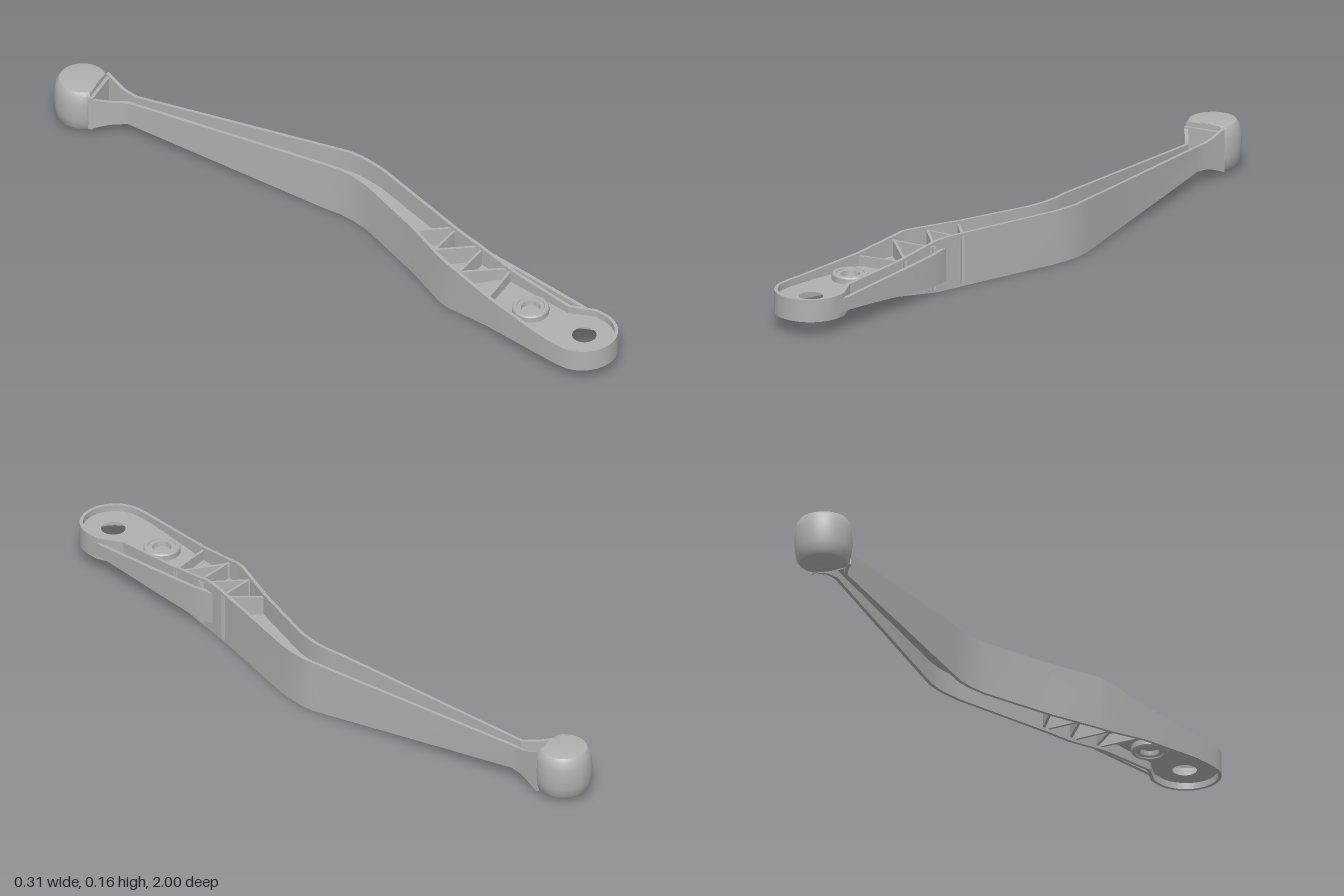
import * as THREE from 'three';
import { toCreasedNormals } from 'three/addons/utils/BufferGeometryUtils.js';

const MID = 0.079; // height of the symmetry plane

// piecewise linear lookup in [[z, value], ...]
function lookup(table, z) {
  if (z <= table[0][0]) return table[0][1];
  for (let i = 1; i < table.length; i++) {
    const [z0, v0] = table[i - 1], [z1, v1] = table[i];
    if (z <= z1) return v0 + (v1 - v0) * (z - z0) / (z1 - z0);
  }
  return table[table.length - 1][1];
}

// upright ribbon along a path of [x, z]; thickness grows to the right-hand (inner) side
function ribbon(path, thickness, halfHeight) {
  const pos = [], idx = [], n = path.length;
  const dir = (a, b) => new THREE.Vector2(b[0] - a[0], b[1] - a[1]).normalize();
  path.forEach(([x, z], i) => {
    const t0 = dir(path[Math.max(i - 1, 0)], path[Math.max(i, 1)]);
    const t1 = dir(path[Math.min(i, n - 2)], path[Math.min(i + 1, n - 1)]);
    const t = t0.clone().add(t1).normalize();
    const w = thickness / Math.max(t.dot(t0), 0.6);
    const ix = x + t.y * w, iz = z - t.x * w, h = halfHeight(z);
    pos.push(x, MID + h, z, x, MID - h, z, ix, MID - h, iz, ix, MID + h, iz);
  });
  for (let i = 0; i < n - 1; i++) {
    for (let j = 0; j < 4; j++) {
      const a = i * 4 + j, b = i * 4 + (j + 1) % 4;
      idx.push(a, b, a + 4, b, b + 4, a + 4);
    }
  }
  const e = (n - 1) * 4;
  idx.push(0, 3, 2, 0, 2, 1, e, e + 2, e + 3, e, e + 1, e + 2);
  const g = new THREE.BufferGeometry();
  g.setAttribute('position', new THREE.Float32BufferAttribute(pos, 3));
  g.setIndex(idx);
  return toCreasedNormals(g, 0.5);
}

export function createModel() {
  const group = new THREE.Group();
  const metal = new THREE.MeshStandardMaterial({ color: 0xb0b0b0 });
  metal.name = 'grey metal';
  const add = (name, geometry) => {
    const mesh = new THREE.Mesh(geometry, metal);
    mesh.name = name;
    group.add(mesh);
    return mesh;
  };

  // plan outline of the lever: left side, rounded pivot end, right side
  const left = [[-0.02, -0.77], [0.055, -0.12], [0.062, -0.07], [0.061, -0.02], [0.05, 0.04],
    [-0.025, 0.26], [-0.088, 0.41], [-0.095, 0.44], [-0.12, 0.6], [-0.15, 0.8], [-0.157, 0.87]];
  const right = [[0.045, 0.87], [0.012, 0.8], [0.026, 0.6], [0.042, 0.44], [0.046, 0.41],
    [0.06, 0.35], [0.145, 0.03], [0.152, -0.02], [0.155, -0.06], [0.152, -0.1], [0.143, -0.15],
    [0.025, -0.77]];
  const end = [];
  for (let i = 0; i <= 24; i++) {
    const a = Math.PI * (1 - i / 24);
    end.push([-0.056 + 0.101 * Math.cos(a), 0.899 + 0.101 * Math.sin(a)]);
  }
  const outline = [...left, ...end, ...right];

  // side wall, flaring in height towards the tip
  const heights = [[-0.88, 0.065], [-0.85, 0.052], [-0.815, 0.04], [-0.77, 0.037],
    [-0.1, 0.079], [0.43, 0.079], [0.6, 0.052], [0.82, 0.035], [1, 0.033]];
  const wallHeight = z => lookup(heights, z);
  const neckLeft = [[-0.09, -0.855], [-0.07, -0.83], [-0.05, -0.807]];
  const neckRight = [[0.027, -0.81], [0.031, -0.84], [0.035, -0.88]];
  add('sideWall', ribbon([...neckLeft, ...outline, ...neckRight], 0.01, wallHeight));

  // flat web between the walls, with the pivot hole
  const webHalf = 0.014;
  const shape = new THREE.Shape(outline.map(p => new THREE.Vector2(p[0], p[1])));
  // keep the web just inside the wall surface
  const inset = shape.getPoints().map((p, i, all) => {
    const a = all[(i + all.length - 1) % all.length], b = all[(i + 1) % all.length];
    const t = new THREE.Vector2().subVectors(b, a).normalize();
    return new THREE.Vector2(p.x + t.y * 0.005, p.y - t.x * 0.005);
  });
  const webShape = new THREE.Shape(inset);
  webShape.holes.push(new THREE.Path().absarc(-0.05, 0.9, 0.035, 0, Math.PI * 2, true));
  const web = new THREE.ExtrudeGeometry(webShape,
    { depth: webHalf * 2, bevelEnabled: false, curveSegments: 16 });
  web.rotateX(Math.PI / 2).translate(0, MID + webHalf, 0);
  add('web', toCreasedNormals(web, 0.5));

  // zigzag stiffening ribs
  const zigzag = [[-0.025, 0.265], [0.06, 0.35], [-0.063, 0.36], [0.044, 0.46],
    [-0.093, 0.475], [0.028, 0.572], [-0.116, 0.597]];
  for (let i = 0; i < zigzag.length - 1; i++) {
    add('rib', ribbon([zigzag[i], zigzag[i + 1]], 0.008, z => wallHeight(z) - 0.009));
  }

  // round boss with a recessed socket on both faces
  const ring = [[0, 0.016], [0.026, 0.016], [0.028, 0.03], [0.04, 0.03], [0.041, 0.034],
    [0.05, 0.034], [0.053, 0.03], [0.053, 0]];
  const profile = [...ring, ...ring.slice(0, -1).reverse().map(([r, y]) => [r, -y])];
  const boss = new THREE.LatheGeometry(
    profile.reverse().map(([r, y]) => new THREE.Vector2(r, y)), 28);
  add('boss', toCreasedNormals(boss, 0.5)).position.set(-0.057, MID, 0.712);

  // slim outer rail beside the pivot end, with an open gap behind it
  const railHeight = [[0.44, 0.049], [0.87, 0.018]];
  add('outerRail', ribbon([[0.045, 0.9], [0.049, 0.85], [0.056, 0.62], [0.058, 0.47],
    [0.054, 0.435], [0.046, 0.4]], 0.011, z => lookup(railHeight, z)));

  // barrel shaped tip, cut flat on the side facing the lever
  const barrel = [[0, -0.07], [0.05, -0.069], [0.068, -0.066], [0.076, -0.056], [0.081, -0.03],
    [0.083, 0], [0.081, 0.03], [0.076, 0.056], [0.068, 0.066], [0.05, 0.069], [0, 0.07]];
  const tip = new THREE.LatheGeometry(barrel.map(([r, y]) => new THREE.Vector2(r, y)), 40);
  const p = tip.attributes.position;
  for (let i = 0; i < p.count; i++) {
    p.setZ(i, Math.min(p.getZ(i), 0.05 - 0.22 * p.getX(i)));
  }
  add('tip', toCreasedNormals(tip, 0.6)).position.set(-0.037, MID + 0.003, -0.917);

  // collar joining the neck to the tip
  const collar = add('collar', new THREE.BoxGeometry(0.115, 0.11, 0.014));
  collar.position.set(-0.03, MID, -0.865);
  collar.rotation.y = 0.215;

  return group;
}
